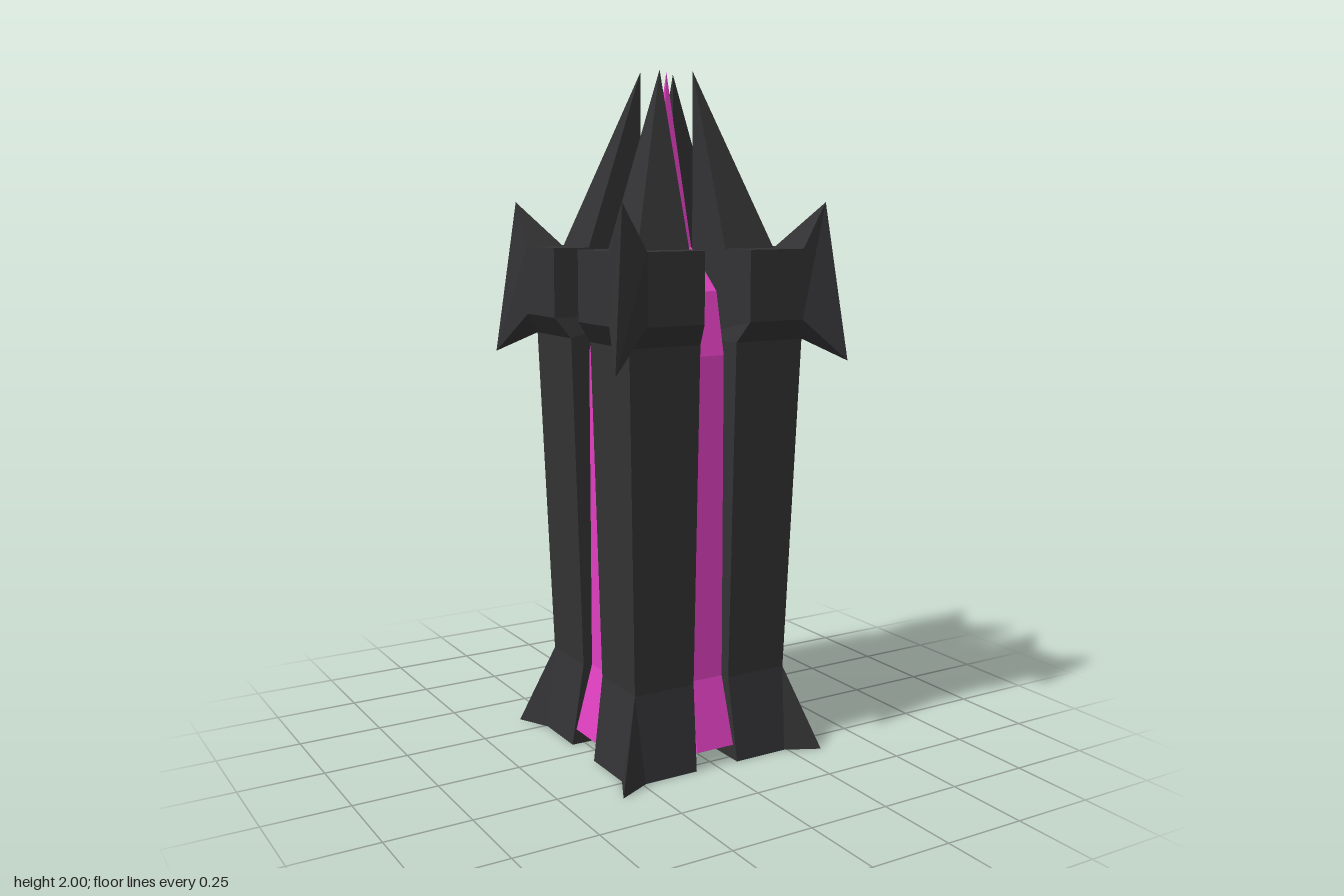
import * as THREE from 'three';

const dark = new THREE.MeshStandardMaterial({ color: 0x333335, flatShading: true });
const pink = new THREE.MeshStandardMaterial({ color: 0xe040c0, flatShading: true });

// Skins a stack of rings (lists of Vector3, running from +x towards +z) and caps both ends
function loft(rings) {
  const out = [];
  const tri = (p, q, r) => {
    if (new THREE.Triangle(p, q, r).getArea() < 1e-7) return;
    for (const v of [p, q, r]) out.push(v.x, v.y, v.z);
  };
  const n = rings[0].length;
  for (let k = 0; k + 1 < rings.length; k++) {
    const lo = rings[k], up = rings[k + 1];
    for (let i = 0; i < n; i++) {
      const j = (i + 1) % n;
      tri(lo[i], up[i], lo[j]);
      tri(up[i], up[j], lo[j]);
    }
  }
  const top = rings[rings.length - 1], bottom = rings[0];
  for (let i = 1; i + 1 < n; i++) {
    tri(bottom[0], bottom[i], bottom[i + 1]);
    tri(top[0], top[i + 1], top[i]);
  }
  const g = new THREE.BufferGeometry();
  g.setAttribute('position', new THREE.Float32BufferAttribute(out, 3));
  g.computeVertexNormals();
  return g;
}

// Pillar section: inner corner a, inner edge m at the outer face, outer face b,
// start of the corner spike c, spike tip d at its own height yd
function pillarRing([y, a, m, b, c, d, yd = y]) {
  return [[a, y, a], [b, y, m], [b, y, c], [d, yd, d], [c, y, b], [m, y, b]]
    .map((p) => new THREE.Vector3(...p));
}

// Core section: rectangle of half width w reaching out to z = v
function coreRing([y, w, v]) {
  return [[-w, y, 0], [w, y, 0], [w, y, v], [-w, y, v]].map((p) => new THREE.Vector3(...p));
}

export function createModel() {
  const model = new THREE.Group();
  const add = (geometry, material, name, turn = 0) => {
    const mesh = new THREE.Mesh(geometry, material);
    mesh.name = name;
    mesh.rotation.y = turn * Math.PI / 2;
    model.add(mesh);
  };

  // Corner pillar: flared foot, shaft, horned collar, pointed top
  const pillar = loft([
    [0, 0.065, 0.07, 0.29, 0.24, 0.34],
    [0.25, 0.055, 0.06, 0.255, 0.255, 0.255],
    [1.24, 0.055, 0.06, 0.285, 0.285, 0.285],
    [1.3, 0.055, 0.075, 0.33, 0.255, 0.38, 1.18],
    [1.5, 0.055, 0.075, 0.33, 0.255, 0.33, 1.63],
    [1.5, 0.055, 0.06, 0.225, 0.225, 0.225],
    [2, 0.055, 0.055, 0.055, 0.055, 0.055],
  ].map(pillarRing));

  // Glowing core arm filling the gap between two pillars
  const arm = loft([
    [0.05, 0.062, 0.28],
    [0.25, 0.053, 0.23],
    [1.2, 0.053, 0.23],
    [1.38, 0.053, 0.19],
    [1.5, 0.053, 0.053],
  ].map(coreRing));

  for (let i = 0; i < 4; i++) {
    add(pillar, dark, 'cornerPillar', i);
    add(arm, pink, 'coreArm', i);
  }

  // Four-sided needle on top of the core
  const spire = new THREE.ConeGeometry(0.053 * Math.SQRT2, 0.5, 4, 1, true);
  spire.rotateY(Math.PI / 4).translate(0, 1.75, 0);
  add(spire, pink, 'coreSpire');

  return model;
}
